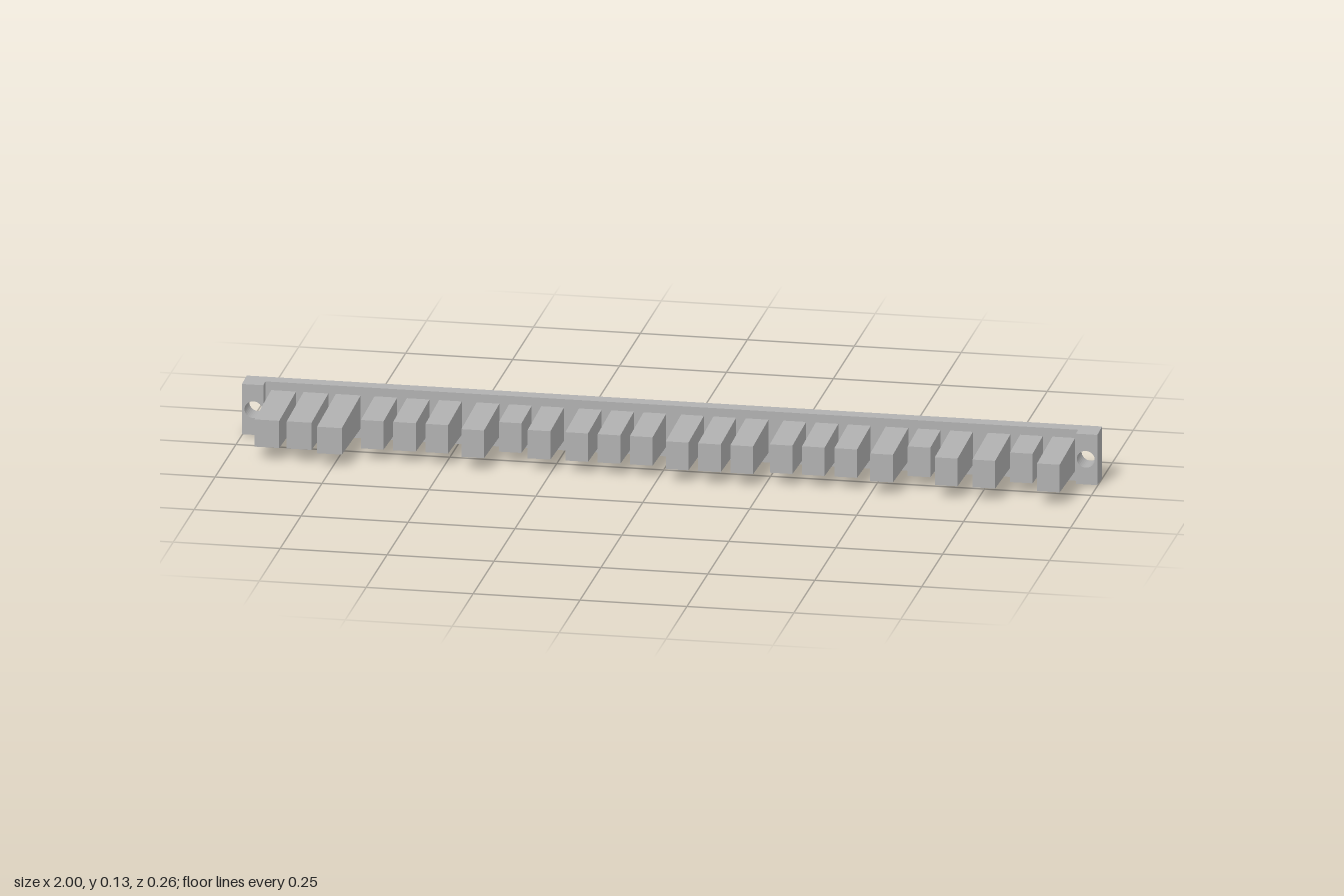
import * as THREE from 'three';

const MID_Y = 0.063;   // height of the centre line
const BACK_Z = -0.128;
const PLATE_Z = -0.097; // front of the thin plate
const LUG_Z = -0.071;   // front of the end lugs
const HOLE_X = 0.973;

// Narrow a geometry vertically towards the front by a constant draft.
function draft(geometry, zStart, halfHeight, slope) {
  const p = geometry.attributes.position;
  for (let i = 0; i < p.count; i++) {
    const k = 1 - (slope * (p.getZ(i) - zStart)) / halfHeight;
    p.setY(i, MID_Y + (p.getY(i) - MID_Y) * k);
  }
  geometry.computeVertexNormals();
  return geometry;
}

// Upright slab between two x and two z values, with round holes.
function drilledSlab(x0, x1, z0, z1, holes) {
  const shape = new THREE.Shape();
  shape.moveTo(x0, 0).lineTo(x1, 0).lineTo(x1, 2 * MID_Y).lineTo(x0, 2 * MID_Y).closePath();
  for (const x of holes) {
    shape.holes.push(new THREE.Path().absarc(x, MID_Y, 0.021, 0, Math.PI * 2, true));
  }
  const g = new THREE.ExtrudeGeometry(shape, { depth: z1 - z0, bevelEnabled: false, curveSegments: 16 });
  g.translate(0, 0, z0);
  return draft(g, BACK_Z, MID_Y, 0.045);
}

export function createModel() {
  const group = new THREE.Group();
  const grey = new THREE.MeshStandardMaterial({ color: 0xb0b0b0 });
  grey.name = 'grey';
  const add = (name, geometry) => {
    const mesh = new THREE.Mesh(geometry, grey);
    mesh.name = name;
    group.add(mesh);
  };

  // Back plate with a screw hole at each end
  add('backPlate', drilledSlab(-1, 1, BACK_Z, PLATE_Z, [-HOLE_X, HOLE_X]));

  // Thicker lugs around the holes
  add('rightLug', drilledSlab(-1, -0.95, PLATE_Z, LUG_Z, [-HOLE_X]));
  add('leftLug', drilledSlab(0.95, 1, PLATE_Z, LUG_Z, [HOLE_X]));

  // Teeth in groups of three: front z of each tooth
  const L = 0.104, X = 0.128, M = 0.066, H = 0.087, S = 0.025;
  const reach = [
    [L, L, X], [M, M, M], [H, S, M], [M, M, M],
    [H, H, H], [M, M, M], [H, S, H], [H, S, H],
  ];
  reach.forEach((triple, i) => triple.forEach((front, j) => {
    const width = i === 0 ? 0.058 : 0.053;
    const half = 0.04;
    const g = new THREE.BoxGeometry(width, 2 * half, front - PLATE_Z);
    g.translate(-0.832 + 0.239 * i + 0.0755 * (j - 1), MID_Y + 0.0015, (front + PLATE_Z) / 2);
    add(`tooth${i * 3 + j + 1}`, draft(g, PLATE_Z, half, 0.036));
  }));

  return group;
}
